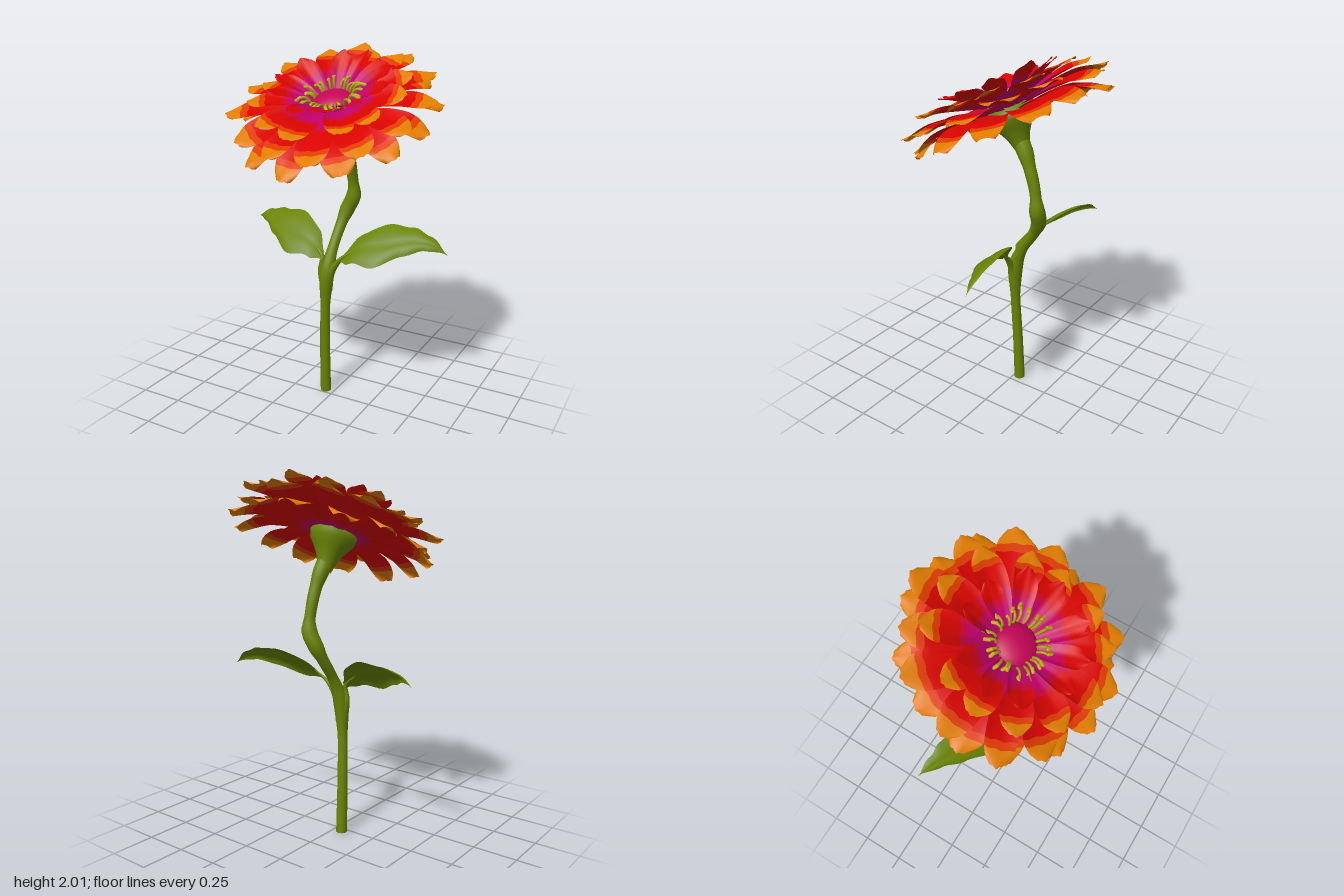
import * as THREE from 'three';

const V = (x, y, z) => new THREE.Vector3(x, y, z);
const mat = (name, color, side = THREE.DoubleSide) => {
  const m = new THREE.MeshStandardMaterial({ color, side });
  m.name = name;
  return m;
};

// small seeded generator, returns -1..1
let seed = 7;
const rnd = () => {
  seed = (seed * 16807) % 2147483647;
  return (seed / 2147483647) * 2 - 1;
};

function add(parent, name, geometry, material) {
  const mesh = new THREE.Mesh(geometry, material);
  mesh.name = name;
  parent.add(mesh);
  return mesh;
}

// open surface from fn(u 0..1, v -1..1); bandOf(u) picks the material of a row
function sheet(rows, cols, fn, bandOf) {
  const pos = [], index = [], geo = new THREE.BufferGeometry();
  for (let i = 0; i <= rows; i++)
    for (let j = 0; j <= cols; j++) pos.push(...fn(i / rows, (j / cols) * 2 - 1).toArray());
  for (let i = 0; i < rows; i++) {
    if (bandOf) geo.addGroup(index.length, cols * 6, bandOf((i + 0.5) / rows));
    for (let j = 0; j < cols; j++) {
      const a = i * (cols + 1) + j, c = a + cols + 1;
      index.push(a, c, a + 1, a + 1, c, c + 1);
    }
  }
  geo.setAttribute('position', new THREE.Float32BufferAttribute(pos, 3));
  geo.setIndex(index);
  geo.computeVertexNormals();
  return geo;
}

// smooth value from [t, value] pairs
function ramp(pairs, t) {
  for (let i = 1; i < pairs.length; i++) {
    const [t0, v0] = pairs[i - 1], [t1, v1] = pairs[i];
    if (t <= t1) return THREE.MathUtils.lerp(v0, v1, THREE.MathUtils.smoothstep(t, t0, t1));
  }
  return pairs[pairs.length - 1][1];
}

// tube whose radius follows radiusAt(point, t)
function taperedTube(points, segs, sides, radiusAt) {
  const curve = new THREE.CatmullRomCurve3(points);
  const geo = new THREE.TubeGeometry(curve, segs, 1, sides);
  const p = geo.attributes.position, q = V();
  for (let i = 0; i <= segs; i++) {
    const c = curve.getPointAt(i / segs), r = radiusAt(c, i / segs);
    for (let j = 0; j <= sides; j++) {
      const k = i * (sides + 1) + j;
      q.fromBufferAttribute(p, k).sub(c).multiplyScalar(r).add(c);
      p.setXYZ(k, q.x, q.y, q.z);
    }
  }
  geo.computeVertexNormals();
  return geo;
}

// petal pointing along +z: broad rounded tip with slight lobes, arched over at the end
function petalGeometry({ r0, L, W, y0, rise, droop, bands }) {
  return sheet(25, 10, (u, v) => {
    const tip = Math.max(0, (u - 0.7) / 0.3);
    const w = W * (0.25 + 0.75 * Math.sin(Math.PI / 2 * Math.min(1, u / 0.7))) * (1 - 0.5 * tip ** 2.6);
    const edge = W * (u ** 6 * (-0.32 * v * v + 0.05 * Math.cos(v * 8)) + 0.06 * Math.sin(u * Math.PI) * Math.sin(v * 7));
    const y = y0 + rise * u + droop * u ** 3 + 0.018 * v * v * Math.sin(u * Math.PI) - 0.015 * v * v * tip;
    return V(v * w, y, r0 + (L - r0) * u + edge);
  }, u => bands.findIndex(b => u < b));
}

export function createModel() {
  const model = new THREE.Group();
  const green = mat('leaf green', 0x6a8404);
  const disc = mat('centre pink', 0xc40456);
  const filamentMat = mat('filament yellow green', 0xa8a20e, THREE.FrontSide);
  const antherMat = mat('anther yellow', 0xc4a812, THREE.FrontSide);
  const petalMats = [
    mat('petal magenta', 0xc4006c), mat('petal crimson', 0xcc0438), mat('petal red', 0xd80400),
    mat('petal orange red', 0xde3a00), mat('petal orange', 0xe07c00),
  ];

  // stem with a fork swelling and a knuckle
  const stemPts = [
    V(-0.055, 0, -0.035), V(-0.052, 0.3, -0.022), V(-0.042, 0.6, -0.01), V(-0.034, 0.78, -0.02),
    V(-0.025, 0.9, -0.07), V(-0.016, 1.02, -0.15), V(0.002, 1.1, -0.19), V(0.036, 1.18, -0.2),
    V(0.036, 1.3, -0.183), V(0.033, 1.4, -0.152), V(0.026, 1.48, -0.118), V(0.019, 1.55, -0.08),
  ];
  const stemRadius = [[0, 0.031], [0.55, 0.028], [0.76, 0.042], [0.92, 0.029], [1.02, 0.031],
    [1.1, 0.042], [1.17, 0.043], [1.26, 0.03], [1.4, 0.033], [1.5, 0.044]];
  add(model, 'stem', taperedTube(stemPts, 70, 16, c => ramp(stemRadius, c.y)), green);
  const cap = add(model, 'stemBase', new THREE.CircleGeometry(0.031, 16), green);
  cap.rotation.x = Math.PI / 2;
  cap.position.set(-0.055, 0.001, -0.035);

  // two leaves: arched midrib, back edge high, front edge low
  const halfWidth = [[0, 0.025], [0.16, 0.088], [0.42, 0.138], [0.66, 0.09], [0.82, 0.045], [1, 0.001]];
  for (const [s, tipY, tipZ, name] of [[1, 0.93, -0.17, 'left'], [-1, 0.965, -0.215, 'right']]) {
    const rib = new THREE.CatmullRomCurve3([
      V(s * 0.06, 0.86, -0.01), V(s * 0.15, 0.93, -0.03), V(s * 0.29, 0.965, -0.06),
      V(s * 0.45, 0.995, -0.125), V(s * 0.55, (tipY + 1.03) / 2, (tipZ - 0.14) / 2), V(s * 0.62, tipY, tipZ),
    ]);
    add(model, name + 'Leaf', sheet(30, 12, (u, v) => {
      const p = rib.getPointAt(u), w = ramp(halfWidth, u);
      const sag = 0.02 * Math.sin(Math.PI * u) * (Math.abs(v) - v * v * 1.5);
      return p.add(V(s * -0.02 * v * v * Math.sin(Math.PI * u), 0.68 * v * w + sag, -0.82 * v * w + sag));
    }), green);
    add(model, name + 'LeafStalk', taperedTube([
      V(-0.036, 0.66, -0.012), V(-0.036 + s * 0.03, 0.77, -0.01), V(s * 0.06 - 0.004, 0.86, -0.012),
      V(s * 0.14, 0.925, -0.03),
    ], 20, 10, (c, t) => 0.034 - 0.032 * t), green);
  }

  // flower head, tilted to the front
  const head = new THREE.Group();
  head.name = 'flowerHead';
  head.position.set(0.016, 1.72, 0.004);
  head.rotation.x = 0.42;
  model.add(head);

  const calyx = [[0.038, -0.25], [0.046, -0.22], [0.064, -0.17], [0.094, -0.12], [0.122, -0.08], [0.13, -0.04], [0.1, -0.01]];
  add(head, 'calyx', new THREE.LatheGeometry(calyx.map(p => new THREE.Vector2(...p)), 24), green);

  // four rings of petals, from the lowest to the innermost; stretch lengthens front and back petals
  const rings = [
    { name: 'lowerPetal', n: 13, r0: 0.06, L: 0.555, W: 0.088, y0: -0.045, rise: 0.04, droop: -0.08, stretch: 0, bands: [0.22, 0.28, 0.76, 0.84, 2] },
    { name: 'outerPetal', n: 13, r0: 0.06, L: 0.565, W: 0.09, y0: -0.025, rise: 0.08, droop: -0.035, stretch: 0, bands: [0.32, 0.4, 0.76, 0.84, 2] },
    { name: 'middlePetal', n: 12, r0: 0.06, L: 0.45, W: 0.08, y0: 0, rise: 0.12, droop: -0.02, stretch: 0.06, bands: [0.44, 0.52, 0.76, 0.84, 2] },
    { name: 'innerPetal', n: 10, r0: 0.06, L: 0.325, W: 0.056, y0: 0.005, rise: 0.145, droop: 0, stretch: 0, bands: [0.52, 0.64, 2] },
  ];
  rings.forEach((ring, k) => {
    const geo = petalGeometry(ring);
    for (let i = 0; i < ring.n; i++) {
      const petal = add(head, ring.name, geo, petalMats);
      const angle = ((i + (k % 2) * 0.5 + rnd() * 0.12) / ring.n) * Math.PI * 2;
      petal.rotation.order = 'YXZ';
      petal.rotation.set(rnd() * 0.04, angle, rnd() * 0.16);
      petal.scale.set(1 + rnd() * 0.1, 1, 1 + rnd() * 0.03 + ring.stretch * Math.cos(2 * angle));
    }
  });

  // domed centre
  const dome = add(head, 'flowerCentre', new THREE.SphereGeometry(0.108, 32, 12, 0, Math.PI * 2, 0, Math.PI / 2), disc);
  dome.scale.y = 0.45;
  dome.position.y = 0.012;

  // curled stamens around the centre
  const filament = new THREE.TubeGeometry(new THREE.CatmullRomCurve3([
    V(0, 0.01, 0.1), V(0, 0.048, 0.108), V(0, 0.068, 0.128), V(0, 0.066, 0.15),
  ]), 8, 0.007, 6);
  const anther = new THREE.CapsuleGeometry(0.0095, 0.022, 3, 8);
  for (let i = 0; i < 24; i++) {
    const stamen = new THREE.Group();
    stamen.name = 'stamen';
    stamen.rotation.y = ((i + rnd() * 0.35) / 24) * Math.PI * 2;
    const size = 1 + rnd() * 0.12;
    stamen.scale.set(1, size, size);
    add(stamen, 'filament', filament, filamentMat);
    const top = add(stamen, 'anther', anther, antherMat);
    top.position.set(rnd() * 0.005, 0.063, 0.157);
    top.rotation.set(1.9, 0, rnd() * 0.5);
    head.add(stamen);
  }
  return model;
}
